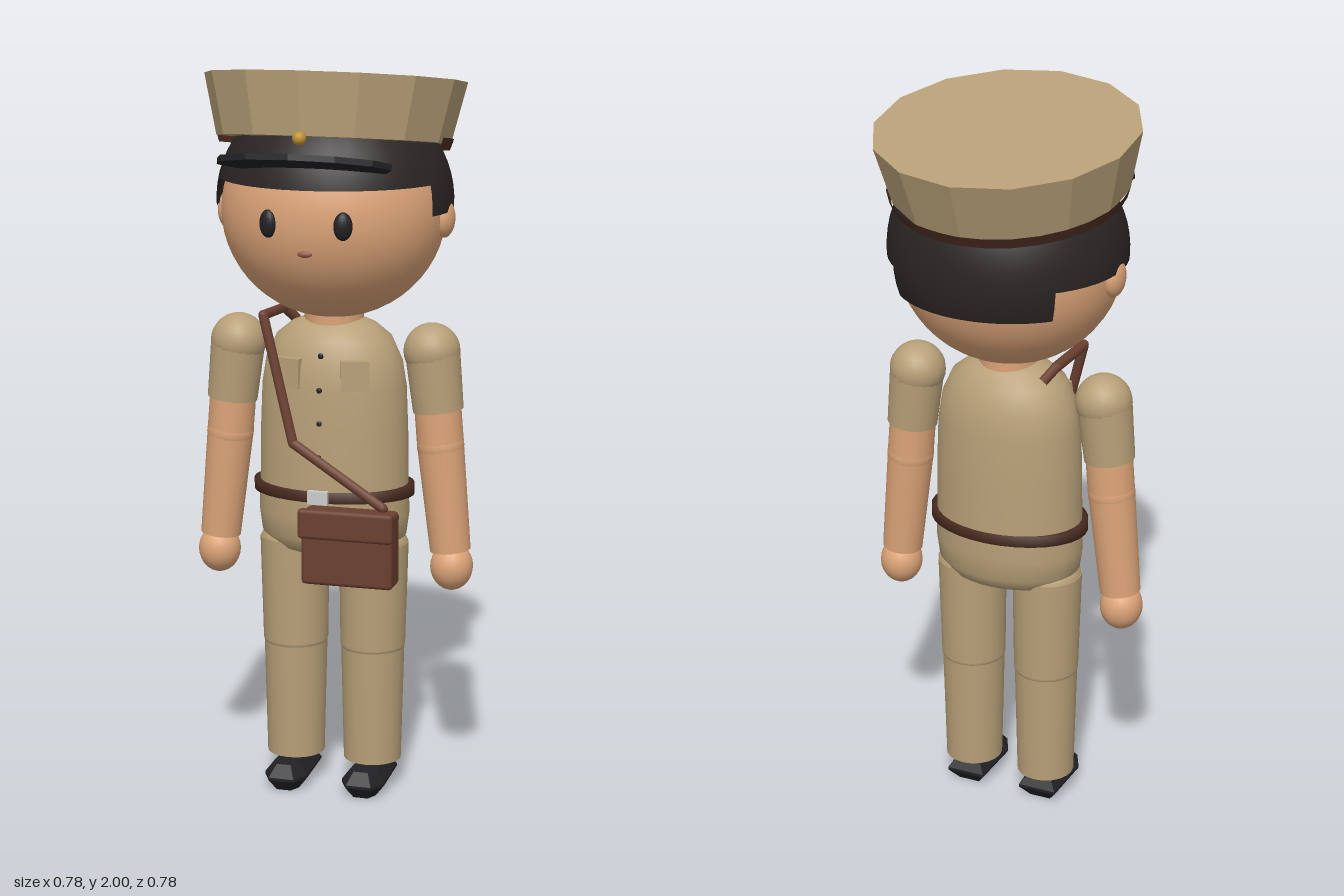
import * as THREE from 'three';
import { RoundedBoxGeometry } from 'three/addons/geometries/RoundedBoxGeometry.js';

const mat = (color, opts = {}) => new THREE.MeshStandardMaterial({ color, ...opts });
const khaki = mat(0xb8a078);
const khakiFlat = mat(0xb8a078, { flatShading: true });
const skin = mat(0xdca478);
const hairMat = mat(0x2a2524, { side: THREE.DoubleSide });
const black = mat(0x222226, { flatShading: true });
const leather = mat(0x6b4030);
const darkLeather = mat(0x4a2c20, { side: THREE.DoubleSide });
const gold = mat(0xc09030);
const silver = mat(0xbcbcbc);
const mouthMat = mat(0x95584a);

const BODY_Z = -0.035;

export function createModel() {
  const model = new THREE.Group();
  const add = (name, geo, material, x = 0, y = 0, z = 0, parent = model) => {
    const mesh = new THREE.Mesh(geo, material);
    mesh.name = name;
    mesh.position.set(x, y, z);
    parent.add(mesh);
    return mesh;
  };
  const ball = (name, material, x, y, z, rx, ry, rz, w = 20, h = 14) =>
    add(name, new THREE.SphereGeometry(1, w, h).scale(rx, ry, rz), material, x, y, z);
  const lathe = (name, points, depth, material) => add(name,
    new THREE.LatheGeometry(points.map(p => new THREE.Vector2(...p)), 32).scale(1, 1, depth),
    material, 0, 0, BODY_Z);
  // Tapered cylinder between two points in the body plane
  const limb = (name, material, x0, y0, x1, y1, r0, r1) => {
    const dx = x0 - x1, dy = y0 - y1;
    const m = add(name, new THREE.CylinderGeometry(r0, r1, Math.hypot(dx, dy), 20), material,
      (x0 + x1) / 2, (y0 + y1) / 2, BODY_Z);
    m.rotation.z = -Math.atan2(dx, dy);
  };

  // Head and face
  add('neck', new THREE.CylinderGeometry(0.08, 0.08, 0.1, 20), skin, 0, 1.32, BODY_Z);
  ball('head', skin, 0, 1.605, -0.03, 0.3, 0.288, 0.285, 40, 28);
  ball('mouth', mouthMat, 0, 1.525, 0.242, 0.02, 0.009, 0.008);
  for (const s of [-1, 1]) {
    ball('eye', black, s * 0.1, 1.6, 0.235, 0.025, 0.037, 0.018).rotation.y = s * 0.35;
    ball('ear', skin, s * 0.298, 1.59, -0.045, 0.028, 0.052, 0.045);
  }

  // Hair: three shells, each reaching lower towards the back
  const hair = (name, bottom, phi, length, grow) => add(name,
    new THREE.SphereGeometry(1, 32, 16, phi, length, 0, Math.acos((bottom - 1.63) / 0.3))
      .scale(0.315 + grow, 0.3 + grow, 0.3 + grow), hairMat, 0, 1.63, -0.042);
  hair('hairTop', 1.69, 0, Math.PI * 2, 0);
  hair('hairSides', 1.61, 2.76, 3.9, 0.002);
  hair('hairNape', 1.53, 3.93, 1.57, 0.004);

  // Cap, tilted back
  const cap = new THREE.Group();
  cap.name = 'cap';
  cap.position.set(0, 1.79, -0.025);
  cap.rotation.x = -0.143;
  model.add(cap);
  add('crown', new THREE.CylinderGeometry(0.348, 0.31, 0.162, 14), khakiFlat, 0, 0.081, 0, cap);
  add('capBand', new THREE.CylinderGeometry(0.316, 0.306, 0.03, 16, 1, true, Math.PI * 0.44, Math.PI * 1.12),
    darkLeather, 0, -0.002, -0.008, cap);
  ball('capBadge', gold, 0, 1.828, 0.288, 0.018, 0.018, 0.018);
  const visor = add('visor', new THREE.CylinderGeometry(1, 1, 0.016, 12).scale(0.232, 1, 0.143),
    black, 0, 1.758, 0.25);
  visor.rotation.x = -0.25;

  // Shirt, hips and belt
  lathe('shirt', [[0.205, 0.84], [0.203, 1.0], [0.198, 1.13], [0.187, 1.2], [0.158, 1.265],
    [0.115, 1.3], [0.07, 1.318], [0.001, 1.322]], 0.74, khaki);
  lathe('hips', [[0.001, 0.655], [0.1, 0.66], [0.17, 0.685], [0.2, 0.72], [0.208, 0.78],
    [0.206, 0.86]], 0.7, khaki);
  lathe('belt', [[0.205, 0.834], [0.222, 0.834], [0.222, 0.864], [0.205, 0.864]], 0.7, darkLeather);
  add('buckle', new THREE.BoxGeometry(0.055, 0.036, 0.02), silver, 0, 0.85, 0.122);
  for (const y of [1.23, 1.14, 1.05, 0.96]) {
    ball('button', black, 0, y, y > 1.2 ? 0.097 : 0.112, 0.008, 0.008, 0.006, 8, 6);
  }

  for (const s of [-1, 1]) {
    add('pocket', new THREE.BoxGeometry(0.075, 0.08, 0.02), khaki, s * 0.092, 1.18, 0.089).rotation.y = s * 0.3;

    // Arm
    ball('shoulder', khaki, s * 0.27, 1.235, BODY_Z, 0.076, 0.075, 0.076);
    limb('sleeve', khaki, s * 0.271, 1.24, s * 0.289, 1.075, 0.074, 0.068);
    limb('upperArm', skin, s * 0.286, 1.1, s * 0.296, 0.98, 0.063, 0.063);
    ball('elbow', skin, s * 0.296, 0.98, BODY_Z, 0.064, 0.064, 0.064);
    limb('forearm', skin, s * 0.296, 0.98, s * 0.326, 0.69, 0.063, 0.055);
    ball('hand', skin, s * 0.33, 0.645, BODY_Z, 0.058, 0.066, 0.06);

    // Leg
    ball('hipJoint', khaki, s * 0.112, 0.69, BODY_Z, 0.095, 0.06, 0.095);
    limb('thigh', khaki, s * 0.112, 0.7, s * 0.11, 0.41, 0.095, 0.089);
    ball('knee', khaki, s * 0.11, 0.41, BODY_Z, 0.089, 0.04, 0.089);
    limb('shin', khaki, s * 0.11, 0.41, s * 0.11, 0.08, 0.087, 0.079);

    // Shoe with chamfered edges
    const sole = new THREE.Shape([[-0.03, -0.08], [0.03, -0.08], [0.035, 0.05], [0.02, 0.08],
      [-0.02, 0.08], [-0.035, 0.05]].map(p => new THREE.Vector2(...p)));
    const shoe = new THREE.ExtrudeGeometry(sole, {
      depth: 0.008, bevelThickness: 0.033, bevelSize: 0.025, bevelSegments: 1,
    });
    shoe.rotateX(Math.PI / 2);
    add('shoe', shoe, black, s * 0.11, 0.041, 0.008);
  }

  // Shoulder strap of straight runs
  const strap = new THREE.CurvePath();
  const route = [[-0.125, 1.29, -0.1], [-0.15, 1.325, -0.07], [-0.162, 1.33, 0.085],
    [-0.07, 0.995, 0.122], [0.19, 0.845, 0.165]].map(p => new THREE.Vector3(...p));
  for (let i = 1; i < route.length; i++) {
    strap.add(new THREE.LineCurve3(route[i - 1], route[i]));
    ball('strapJoint', leather, ...route[i].toArray(), 0.014, 0.014, 0.014, 8, 6);
    add('strap', new THREE.TubeGeometry(strap.curves[i - 1], 1, 0.014, 8), leather);
  }

  // Satchel
  add('satchel', new RoundedBoxGeometry(0.25, 0.2, 0.085, 1, 0.012), leather, 0.105, 0.737, 0.182);
  add('satchelFlap', new RoundedBoxGeometry(0.26, 0.08, 0.03, 1, 0.01), leather, 0.105, 0.806, 0.226);

  return model;
}
